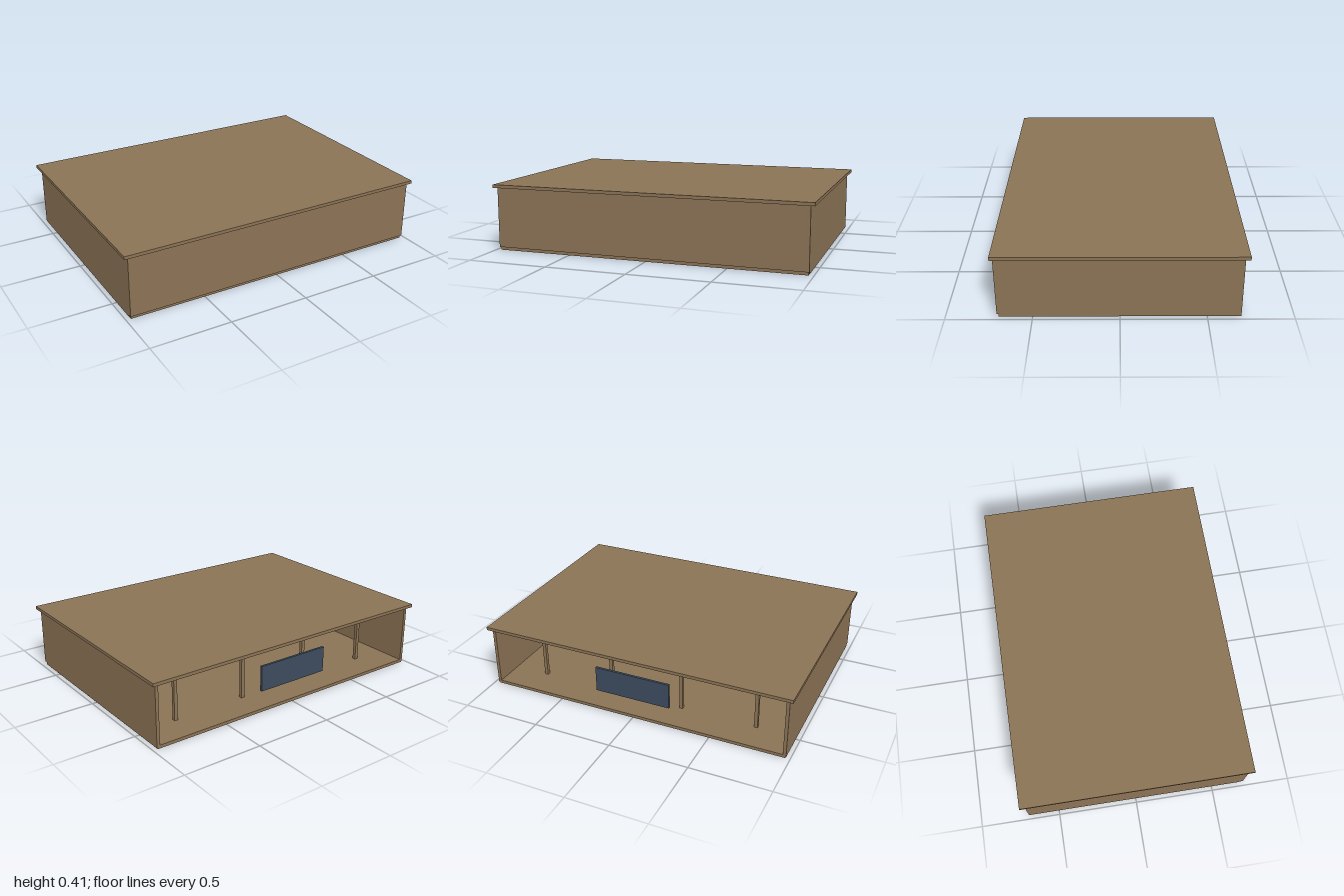
import * as THREE from 'three';

export function createModel() {
  const model = new THREE.Group();
  const wood = new THREE.MeshStandardMaterial({ color: 0x8b7355 });
  wood.name = 'brown wood';
  const slate = new THREE.MeshStandardMaterial({ color: 0x3d4c5e });
  slate.name = 'slate blue';

  // Box given by its lower and upper corners
  function box(name, lo, hi, material = wood) {
    const size = hi.map((v, i) => v - lo[i]);
    const mesh = new THREE.Mesh(new THREE.BoxGeometry(...size), material);
    mesh.position.set(...hi.map((v, i) => (v + lo[i]) / 2));
    mesh.name = name;
    model.add(mesh);
  }

  // Shell: floor, front, sides and overhanging lid, open at the back
  box('floor', [-0.97, 0, -0.695], [0.97, 0.02, 0.695]);
  box('frontWall', [-0.975, 0.02, 0.683], [0.975, 0.395, 0.705]);
  box('rightWall', [-0.975, 0.006, -0.695], [-0.955, 0.395, 0.683]);
  box('leftWall', [0.955, 0.006, -0.695], [0.975, 0.395, 0.683]);
  box('lid', [-1, 0.395, -0.72], [1, 0.415, 0.72]);

  // Row of posts just inside the open back
  for (const x of [-0.727, -0.24, 0.24, 0.727]) {
    box('post', [x - 0.011, 0.02, -0.511], [x + 0.011, 0.395, -0.489]);
  }

  // Rail under the lid
  box('rail', [-0.47, 0.375, -0.345], [0.47, 0.395, -0.325]);

  // Panel across the middle of the opening
  box('backPanel', [-0.243, 0.135, -0.695], [0.243, 0.297, -0.68], slate);

  return model;
}
